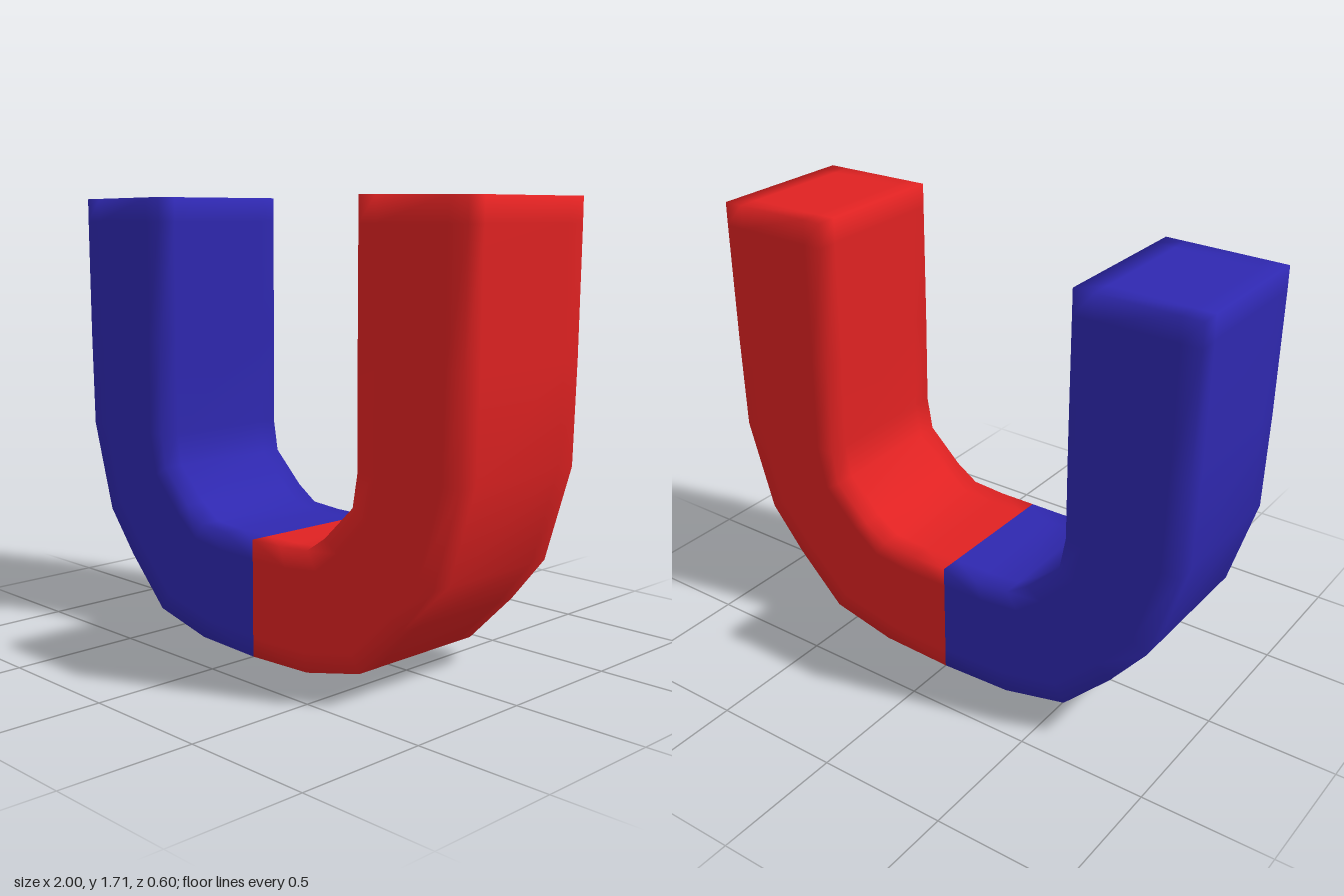
import * as THREE from 'three';

// Stations along one arm: [inner x, inner y, outer x, outer y]
const STATIONS = [
  [0, 0.45, 0, 0],
  [0.15, 0.45, 0.29, 0.01],
  [0.29, 0.46, 0.55, 0.07],
  [0.38, 0.52, 0.74, 0.26],
  [0.515, 0.65, 0.88, 0.43],
  [0.538, 0.78, 0.985, 0.78],
  [0.535, 1.15, 0.995, 1.15],
  [0.535, 1.61, 1, 1.61],
  [0.535, 1.705, 1, 1.7],
];
const ACROSS = [0, 0.17, 0.83, 1];      // extra rows near the edges soften the shading
const DEPTH = [-0.3, -0.22, 0.22, 0.3];

function armGeometry() {
  const pos = [], index = [];
  // 4 x 4 grid of points at every station
  for (const [ix, iy, ox, oy] of STATIONS)
    for (const t of ACROSS)
      for (const z of DEPTH) pos.push(ix + (ox - ix) * t, iy + (oy - iy) * t, z);

  // Skin around the outside of each grid
  const ring = [0, 4, 8, 12, 13, 14, 15, 11, 7, 3, 2, 1];
  for (let s = 0; s < STATIONS.length - 1; s++)
    ring.forEach((r, k) => {
      const p = s * 16 + r, q = s * 16 + ring[(k + 1) % ring.length];
      index.push(p, p + 16, q, q, p + 16, q + 16);
    });

  // Pole face closing the top
  const top = (STATIONS.length - 1) * 16;
  for (let i = 0; i < 3; i++)
    for (let j = 0; j < 3; j++) {
      const a = top + i * 4 + j;
      index.push(a, a + 1, a + 4, a + 4, a + 1, a + 5);
    }

  const geo = new THREE.BufferGeometry();
  geo.setAttribute('position', new THREE.Float32BufferAttribute(pos, 3));
  geo.setIndex(index);
  geo.computeVertexNormals();
  return geo;
}

export function createModel() {
  const group = new THREE.Group();
  group.name = 'horseshoeMagnet';
  const geo = armGeometry();
  const addArm = (name, color, turn) => {
    const arm = new THREE.Mesh(geo, new THREE.MeshStandardMaterial({ color }));
    arm.name = name;
    arm.rotation.y = turn;
    group.add(arm);
  };
  addArm('leftRedArm', 0xe02222, 0);
  addArm('rightBlueArm', 0x2f28b0, Math.PI);
  return group;
}
